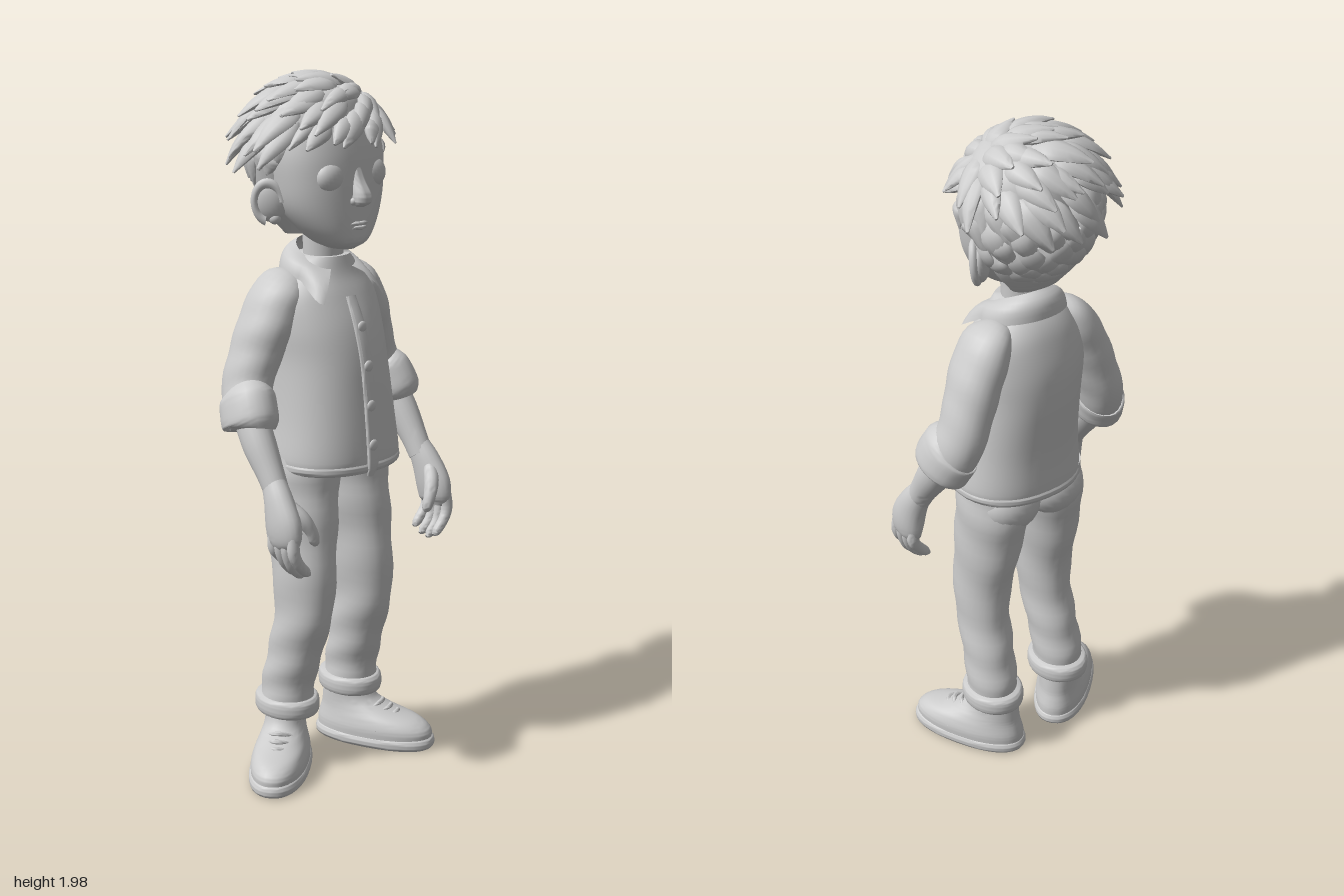
import * as THREE from 'three';
import { toCreasedNormals } from 'three/addons/utils/BufferGeometryUtils.js';
import { ParametricGeometry } from 'three/addons/geometries/ParametricGeometry.js';

const V = (x, y, z) => new THREE.Vector3(x, y, z);
const X = V(1, 0, 0), UP = V(0, 1, 0);

// Smooth skin through sections [x, y, z, rx, rz]; rings are level or follow the path
function loft(secs, { level = false, ref = X, sides = 20, steps = 5, power = 2, fold = 0 } = {}) {
  const path = new THREE.CatmullRomCurve3(secs.map(s => V(s[0], s[1], s[2])), false, 'catmullrom');
  const size = new THREE.CatmullRomCurve3(secs.map(s => V(s[3], s[4], 0)), false, 'catmullrom');
  const n = (secs.length - 1) * steps, pos = [], idx = [];
  const e = 2 / power, pw = v => Math.sign(v) * Math.abs(v) ** e;
  for (let i = 0; i <= n; i++) {
    const p = path.getPoint(i / n), r = size.getPoint(i / n);
    const T = level ? UP.clone() : path.getTangent(i / n);
    const B = ref.clone().addScaledVector(T, -ref.dot(T)).normalize();
    const N = T.clone().cross(B);
    for (let j = 0; j < sides; j++) {
      const a = j / sides * Math.PI * 2;
      const w = fold * Math.sin(i * 1.25 + 2.2 * Math.sin(a + 0.6));
      const q = p.clone().addScaledVector(B, (r.x + w) * pw(Math.cos(a))).addScaledVector(N, (r.y + w) * pw(Math.sin(a)));
      pos.push(q.x, q.y, q.z);
      if (i < n) {
        const a0 = i * sides + j, b0 = i * sides + (j + 1) % sides;
        idx.push(a0, b0, b0 + sides, a0, b0 + sides, a0 + sides);
      }
    }
  }
  // end caps
  [0, n].forEach((row, k) => {
    const c = path.getPoint(row / n), ci = pos.length / 3;
    pos.push(c.x, c.y, c.z);
    for (let j = 0; j < sides; j++) {
      const a = row * sides + j, b = row * sides + (j + 1) % sides;
      k ? idx.push(a, b, ci) : idx.push(b, a, ci);
    }
  });
  const g = new THREE.BufferGeometry();
  g.setAttribute('position', new THREE.Float32BufferAttribute(pos, 3));
  g.setIndex(idx);
  return toCreasedNormals(g, 0.95);
}

export function createModel() {
  const model = new THREE.Group();
  model.name = 'boy';
  const clay = new THREE.MeshStandardMaterial({ color: 0xcccccc, side: THREE.DoubleSide });
  clay.name = 'grey clay';
  const add = (name, geo, parent = model) => {
    const m = new THREE.Mesh(geo, clay);
    m.name = name;
    parent.add(m);
    return m;
  };
  const ball = (name, p, s, parent) => {
    const m = add(name, new THREE.SphereGeometry(1, 24, 16), parent);
    m.position.set(...p);
    m.scale.set(...s);
    return m;
  };

  // Head and neck
  add('head', loft([
    [0, 1.515, .08, .03, .05], [0, 1.535, .078, .07, .08], [0, 1.57, .065, .108, .098], [0, 1.63, .043, .146, .12],
    [0, 1.7, .035, .163, .125], [0, 1.78, .022, .168, .13], [0, 1.86, .012, .145, .118], [0, 1.92, 0, .08, .08],
  ], { level: true, sides: 40, power: 2.25 }));
  add('neck', loft([[0, 1.34, .01, .06, .06], [0, 1.45, .015, .056, .056], [0, 1.58, .02, .058, .06]], { level: true }));

  // Face
  add('nose', loft([[0, 1.765, .138, .014, .008], [0, 1.71, .152, .02, .018], [0, 1.67, .168, .026, .028],
    [0, 1.647, .17, .025, .026], [0, 1.634, .162, .012, .012]], { level: true }));
  for (const [y, w] of [[1.589, .036], [1.577, .03]]) {
    add('lip', loft([[-w, y - .002, .155, .003, .004], [-w / 2, y + .001, .162, .005, .005], [0, y, .166, .006, .006],
      [w / 2, y + .001, .162, .005, .005], [w, y - .002, .155, .003, .004]], { ref: UP, sides: 10 }));
  }
  for (const s of [-1, 1]) {
    ball('eyelid', [s * .074, 1.715, .125], [.048, .044, .033]);
    ball('nostril', [s * .021, 1.65, .158], [.013, .012, .014]);
    // Ear with rim
    const ear = new THREE.Group();
    ear.name = 'ear';
    ear.position.set(s * .172, 1.643, -.012);
    ear.rotation.set(-.1, s * -.75, s * -.16);
    model.add(ear);
    ball('earBody', [s * -.012, 0, .004], [.024, .057, .046], ear);
    const rim = add('earRim', new THREE.TorusGeometry(.04, .011, 10, 28, 4.4), ear);
    rim.rotation.y = -Math.PI / 2;
    rim.scale.set(.95, 1.3, 1);
    ball('earLobe', [s * -.008, -.046, .012], [.016, .017, .017], ear);
  }

  // Hair: a scalp shell and locks sweeping out from an off-centre whorl
  const hair = new THREE.Group();
  hair.name = 'hair';
  model.add(hair);
  add('hairShell', loft([
    [0, 1.545, -.045, .08, .04], [0, 1.62, -.055, .138, .092], [0, 1.72, -.05, .173, .133], [0, 1.8, -.025, .184, .16],
    [0, 1.88, -.02, .168, .146], [0, 1.935, -.005, .11, .105], [0, 1.955, .01, .02, .02],
  ], { level: true, sides: 32 }), hair);
  let seed = 11;
  const rnd = () => (seed = (seed * 16807) % 2147483647) / 2147483647;
  const whorl = V(.68, 1, .32).normalize();
  const e1 = V(0, 0, 1).addScaledVector(whorl, -whorl.z).normalize(), e2 = whorl.clone().cross(e1).normalize();
  const layers = [[.03, 7], [.22, 9], [.45, 13], [.7, 16], [.95, 19], [1.2, 20], [1.45, 21], [1.7, 22], [1.95, 20]];
  layers.forEach(([start, count], k) => {
    for (let i = 0; i < count; i++) {
      const f = (i + (k % 2) / 2 + rnd() * .5) / count * Math.PI * 2;
      const at = (a, lift) => {
        const d = whorl.clone().multiplyScalar(Math.cos(a))
          .addScaledVector(e1, Math.sin(a) * Math.cos(f)).addScaledVector(e2, Math.sin(a) * Math.sin(f));
        return V(.185 * d.x * lift, 1.76 + .193 * d.y * lift, -.012 + .188 * d.z * lift);
      };
      // shorten locks that would cross the hairline
      let len = .55 + rnd() * .3, tip = at(start + len, 1);
      const fringe = 1.775 + rnd() * .035;
      const crosses = p => p.y < (p.z > .045 ? fringe : p.z > -.05 ? 1.72 : 1.57);
      while (len > .2 && crosses(tip)) tip = at(start + (len -= .06), 1);
      if (len <= .24) continue;
      // crown locks stand up, side locks flare, nape and fringe locks lie flat
      const low = tip.y < 1.73, front = tip.z > .08;
      const flare = (tip.x < 0 ? .22 : .13) * (tip.x / .185) ** 2 + (tip.z < 0 ? .08 * (tip.z / .19) ** 2 : 0);
      const lift = low ? 1.05 : 1.1 + flare + rnd() * (front ? .04 : .11);
      const w = (low ? .024 : front ? .021 : .028) + rnd() * .01;
      const th = low ? .01 : .017;
      const pts = [[0, .98, .45, .5], [.35, 1.05, 1, 1], [.7, .5 + lift * .51, .75, .8], [1, lift, .14, .18]]
        .map(([t, l, ws, hs]) => [...at(start + len * t, l).toArray(), w * ws, th * hs]);
      const ref = e2.clone().multiplyScalar(Math.cos(f)).addScaledVector(e1, -Math.sin(f));
      add('hairLock', loft(pts, { ref, sides: 10, steps: 4 }), hair);
    }
  });

  // Shirt
  add('shirtBody', loft([
    [.01, .905, .045, .188, .165], [.01, .94, .045, .191, .169], [.008, 1.05, .04, .177, .166], [.004, 1.2, .024, .166, .165],
    [0, 1.3, .012, .168, .153], [0, 1.385, .003, .16, .126], [0, 1.44, 0, .122, .102], [0, 1.49, .01, .075, .075],
  ], { level: true, sides: 40, power: 2.25 }));
  add('shirtHem', loft([[.01, .9, .045, .186, .163], [.01, .907, .045, .192, .17], [.01, .922, .045, .193, .171], [.01, .93, .045, .188, .166]],
    { level: true, sides: 40, power: 2.25 }));
  add('placket', loft([[0, 1.385, .128, .018, .005], [0, 1.3, .166, .021, .006], [.002, 1.2, .191, .021, .006],
    [.004, 1.05, .208, .021, .006], [.006, .94, .216, .021, .006], [0, .89, .211, .01, .004]], { sides: 12, power: 3 }));
  for (const [y, z] of [[1.305, .17], [1.2, .197], [1.09, .209], [.98, .219]]) ball('button', [.004, y, z], [.016, .016, .007]);
  add('collar', new ParametricGeometry((u, v, out) => {
    const a = (u - .5) * 5.4, f = (1 - Math.cos(a)) / 2, t = THREE.MathUtils.smoothstep(Math.abs(a), 1.9, 2.7);
    const s = Math.sin(a), c = -Math.cos(a), bulge = .011 * Math.sin(v * Math.PI);
    const top = V(.072 * s, 1.53 - .07 * f, .015 + .075 * c);
    const low = V(.125 * s + .055 * t * Math.sign(s), 1.46 - .045 * f - .04 * t, .01 + .108 * c + .034 * t);
    out.copy(top.lerp(low, v)).add(V(bulge * s, bulge, bulge * c));
  }, 40, 6));

  for (const s of [-1, 1]) {
    const mir = (p, dx = 0) => p.map(([x, ...rest]) => [s * x + dx, ...rest]);
    const arm = p => mir(p, .005);

    // Sleeve and rolled cuff
    add('sleeve', loft(arm([[.085, 1.43, -.01, .03, .05], [.135, 1.395, -.015, .06, .085], [.18, 1.31, -.022, .068, .088],
      [.215, 1.22, -.032, .066, .08], [.247, 1.13, -.03, .063, .078], [.268, 1.06, .005, .06, .076]]), { sides: 24, fold: .0012 }));
    add('sleeveCuff', loft(arm([[.253, 1.12, -.022, .05, .07], [.256, 1.113, -.017, .068, .09], [.266, 1.08, .002, .071, .093],
      [.273, 1.045, .018, .069, .089], [.275, 1.036, .021, .05, .068]]), { sides: 24 }));

    // Forearm, palm, fingers
    add('forearm', loft(arm([[.265, 1.08, 0, .045, .05], [.272, 1, .052, .045, .05], [.275, .93, .1, .037, .041], [.276, .88, .13, .033, .037]])));
    add('palm', loft(arm([[.276, .91, .115, .031, .035], [.283, .86, .145, .036, .047], [.288, .8, .17, .037, .06],
      [.289, .755, .176, .03, .056], [.285, .735, .178, .015, .04]])));
    for (let i = 0; i < 4; i++) {
      const z = .134 + i * .027, d = [.02, .004, 0, .012][i];
      add('finger', loft(arm([[.293, .78, z, .018, .015], [.296, .735, z + .004, .018, .016], [.282, .69 + d, z + .006, .016, .015],
        [.254, .66 + d, z + .006, .014, .013], [.24, .65 + d, z + .006, .005, .005]]), { sides: 12 }));
    }
    add('thumb', loft(arm([[.275, .86, .165, .018, .018], [.25, .82, .2, .021, .022], [.228, .78, .215, .017, .018],
      [.217, .748, .215, .014, .014], [.215, .736, .213, .004, .004]]), { sides: 14 }));

    // Trouser leg and turn-up
    add('trouserLeg', loft(mir([[.125, .165, 0, .074, .084], [.125, .25, .006, .073, .082], [.12, .36, .034, .073, .086],
      [.115, .5, .064, .074, .096], [.107, .68, .047, .083, .114], [.097, .83, .028, .095, .124], [.09, .94, .03, .095, .12]]),
    { level: true, sides: 28, fold: .0025 }));
    add('trouserCuff', loft(mir([[.125, .155, 0, .07, .08], [.125, .162, 0, .083, .098], [.125, .185, 0, .087, .103],
      [.125, .207, 0, .083, .098], [.125, .214, 0, .07, .08]]), { level: true, sides: 28 }));
    ball('seat', [s * .078, .865, -.025], [.095, .085, .082]);

    // Shoe
    const shoe = new THREE.Group();
    shoe.name = 'shoe';
    shoe.position.set(s * .125, 0, -.008);
    shoe.rotation.y = s < 0 ? -.88 : .42;
    model.add(shoe);
    add('sole', loft([[0, 0, .088, .078, .178], [0, .008, .088, .085, .186], [0, .026, .088, .085, .186], [0, .034, .088, .078, .179]],
      { level: true, sides: 36, power: 2.3 }), shoe);
    add('shoeUpper', loft([[0, .03, .087, .081, .18], [0, .055, .086, .081, .178], [0, .08, .072, .074, .158],
      [0, .102, .038, .065, .118], [0, .13, .008, .058, .085], [0, .18, -.002, .056, .07]],
    { level: true, sides: 36, power: 2.2 }), shoe);
    add('toeSeam', loft([[-.077, .055, .12, .004, .004], [-.046, .084, .142, .004, .004], [0, .085, .174, .004, .004],
      [.046, .084, .142, .004, .004], [.077, .055, .12, .004, .004]], { ref: UP, sides: 8 }), shoe);
    for (const [y, z] of [[.1, .16], [.112, .138], [.125, .112]]) {
      add('lace', loft([[-.04, y - .014, z - .02, .005, .005], [0, y, z, .007, .007], [.04, y - .014, z - .02, .005, .005]],
        { ref: UP, sides: 8 }), shoe);
    }
  }

  // Hips join the legs under the shirt
  add('trouserHips', loft([[0, .85, .02, .02, .05], [0, .875, .025, .1, .085], [0, .92, .03, .17, .115], [0, .97, .03, .17, .12]],
    { level: true, sides: 28 }));
  return model;
}
